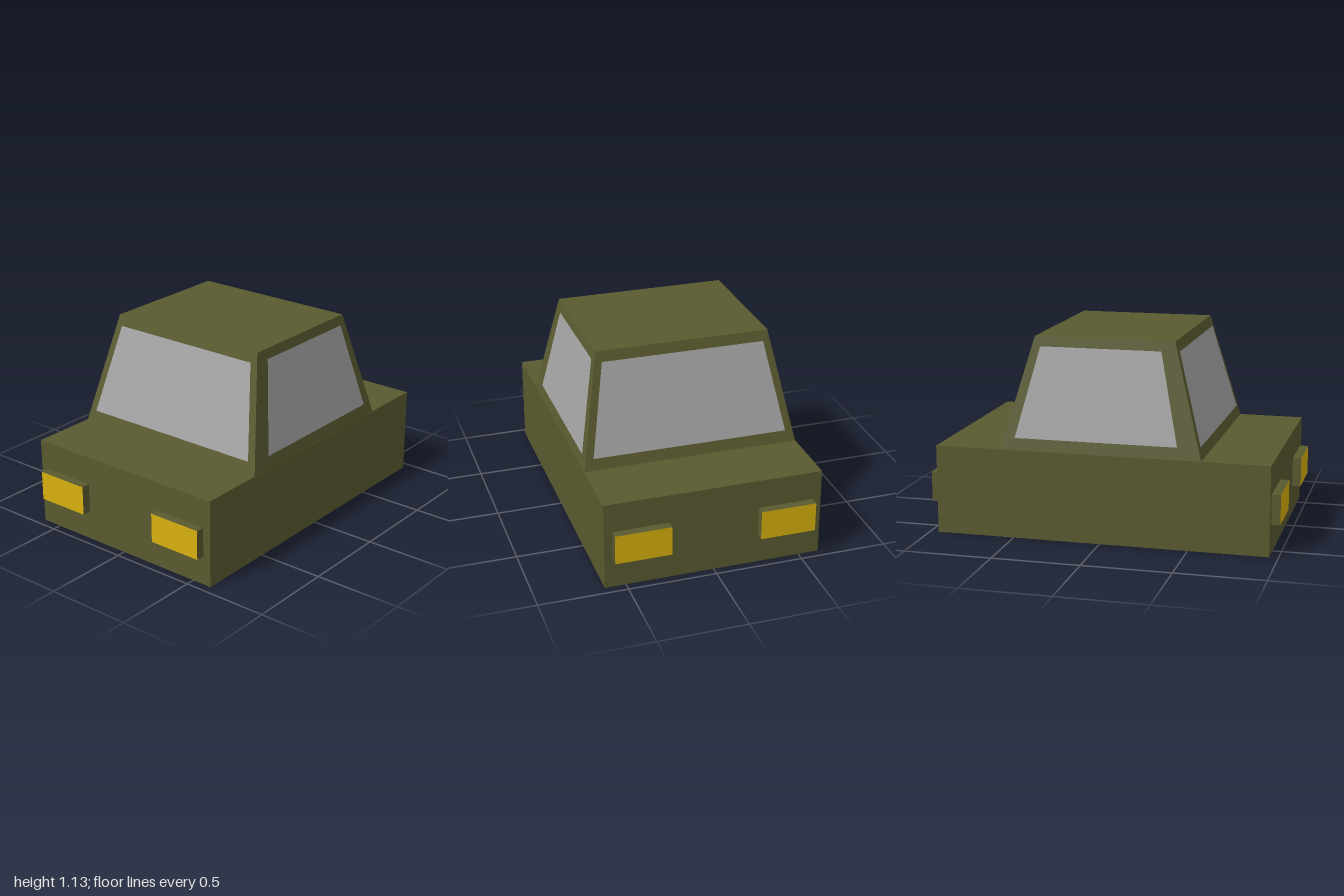
import * as THREE from 'three';

const paint = new THREE.MeshStandardMaterial({ name: 'olive paint', color: 0x5a5a30 });
const glass = new THREE.MeshStandardMaterial({ name: 'grey glass', color: 0xa4a4a4 });
const lampYellow = new THREE.MeshStandardMaterial({ name: 'lamp yellow', color: 0xd8b00e });

const DECK = 0.507, ROOF = 1.135;          // heights of body top and roof
const BASE = { x: 0.57, z: 0.617 };        // cabin half sizes at the deck
const TOP = { x: 0.397, z: 0.496 };        // cabin half sizes at the roof

// Half width of the sloped cabin along one axis at height y
function cabinHalf(axis, y) {
  return THREE.MathUtils.lerp(BASE[axis], TOP[axis], (y - DECK) / (ROOF - DECK));
}

function addMesh(parent, name, geometry, material) {
  const mesh = new THREE.Mesh(geometry, material);
  mesh.name = name;
  parent.add(mesh);
  return mesh;
}

// Box tapered to the roof size
function cabinGeometry() {
  const geo = new THREE.BoxGeometry(2, ROOF - DECK, 2);
  geo.translate(0, (ROOF + DECK) / 2, 0);
  const p = geo.attributes.position;
  for (let i = 0; i < p.count; i++) {
    const y = p.getY(i);
    p.setXYZ(i, p.getX(i) * cabinHalf('x', y), y, p.getZ(i) * cabinHalf('z', y));
  }
  geo.computeVertexNormals();
  return geo;
}

// Flat pane from four corners, counter-clockwise seen from outside
function paneGeometry(corners) {
  const geo = new THREE.BufferGeometry();
  geo.setAttribute('position', new THREE.Float32BufferAttribute(corners.flat(), 3));
  geo.setIndex([0, 1, 2, 0, 2, 3]);
  geo.computeVertexNormals();
  return geo;
}

export function createModel() {
  const car = new THREE.Group();
  car.name = 'car';

  // Lower body and cabin
  const body = addMesh(car, 'body', new THREE.BoxGeometry(1.9, DECK, 1.237), paint);
  body.position.y = DECK / 2;
  addMesh(car, 'cabin', cabinGeometry(), paint);

  const lift = 0.003;
  for (const s of [1, -1]) {
    // Side windows, set a little towards +x
    const sideCorners = [[-0.435, 0.575], [0.488, 0.575], [0.363, 1.08], [-0.323, 1.08]]
      .map(([x, y]) => [x, y, s * (cabinHalf('z', y) + lift)]);
    if (s < 0) sideCorners.reverse();
    addMesh(car, s > 0 ? 'frontWindow' : 'backWindow', paneGeometry(sideCorners), glass);

    // Windscreens at the two ends
    const endCorners = [[0.56, 0.572], [-0.56, 0.572], [-0.465, 1.077], [0.465, 1.077]]
      .map(([z, y]) => [s * (cabinHalf('x', y) + lift), y, z]);
    if (s < 0) endCorners.reverse();
    addMesh(car, s > 0 ? 'leftWindscreen' : 'rightWindscreen', paneGeometry(endCorners), glass);

    // Lamps: painted housings with a yellow outer face
    const faces = Array(6).fill(paint);
    faces[s > 0 ? 0 : 1] = lampYellow;
    for (const t of [1, -1]) {
      const lamp = addMesh(car, 'lamp', new THREE.BoxGeometry(0.05, 0.17, 0.318), faces);
      lamp.position.set(s * 0.975, 0.255, t * 0.413);
    }
  }
  return car;
}
